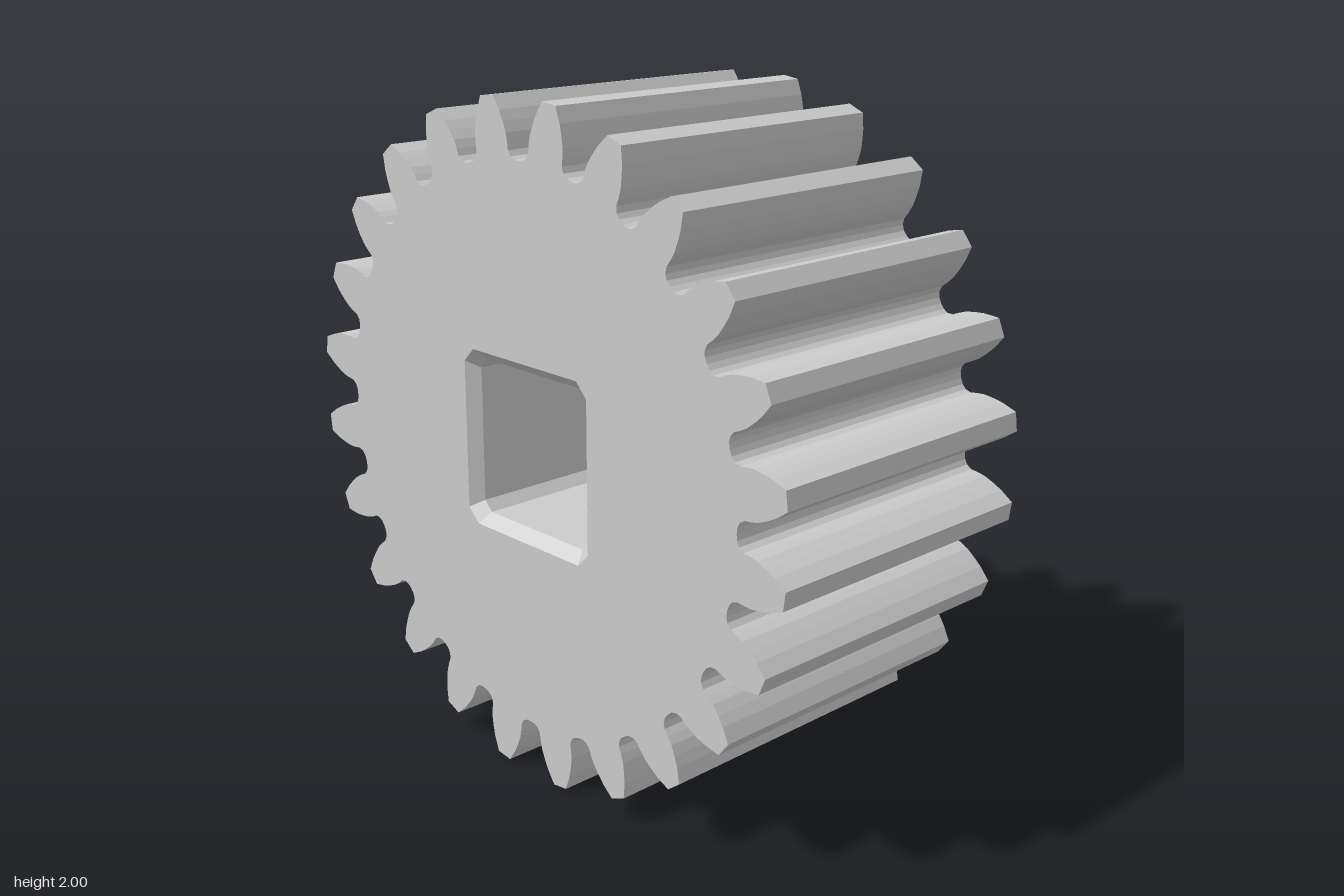
import * as THREE from 'three';

const TEETH = 24, HALF_DEPTH = 0.465, CENTRE_Y = 1;
const material = new THREE.MeshStandardMaterial({ color: 0xcccccc, flatShading: true });

// Half of a tooth gap: [radius, degrees away from the gap's middle]
const GAP = [[0.832, 0], [0.834, 1.2], [0.842, 2.2], [0.858, 2.85], [0.88, 2.95],
  [0.905, 3.2], [0.935, 3.85], [0.965, 4.6], [1.0055, 5.95]];

// Counter-clockwise outline of the whole gear
function gearOutline() {
  const points = [];
  const add = (r, deg) => {
    const a = THREE.MathUtils.degToRad(deg);
    points.push(new THREE.Vector2(r * Math.cos(a), r * Math.sin(a)));
  };
  for (let i = 0; i < TEETH; i++) {
    const middle = i * 360 / TEETH;
    for (let k = GAP.length - 1; k > 0; k--) add(GAP[k][0], middle - GAP[k][1]);
    for (const [r, deg] of GAP) add(r, middle + deg);
  }
  return points;
}

// Clockwise square with cut corners, so that its walls face inward
function squareOutline(h, cut) {
  const c = h - cut;
  return [[h, c], [h, -c], [c, -h], [-c, -h], [-h, -c], [-h, c], [-c, h], [c, h]]
    .map(([x, y]) => new THREE.Vector2(x, y));
}

// Walls through a series of [outline, z] sections, from back to front
function loft(sections) {
  const positions = [];
  for (let s = 0; s + 1 < sections.length; s++) {
    const [a, za] = sections[s], [b, zb] = sections[s + 1];
    for (let i = 0; i < a.length; i++) {
      const j = (i + 1) % a.length;
      const p = [a[i].x, a[i].y, za], q = [a[j].x, a[j].y, za];
      const r = [b[j].x, b[j].y, zb], t = [b[i].x, b[i].y, zb];
      positions.push(...p, ...q, ...r, ...p, ...r, ...t);
    }
  }
  const geometry = new THREE.BufferGeometry();
  geometry.setAttribute('position', new THREE.Float32BufferAttribute(positions, 3));
  geometry.computeVertexNormals();
  return geometry;
}

export function createModel() {
  const model = new THREE.Group();
  model.name = 'spurGear';
  const add = (name, geometry) => {
    const mesh = new THREE.Mesh(geometry, material);
    mesh.name = name;
    mesh.position.y = CENTRE_Y;
    model.add(mesh);
  };

  const outline = gearOutline();
  const bore = squareOutline(0.234, 0.03);
  const rim = squareOutline(0.267, 0.042);
  const bevel = HALF_DEPTH - 0.035;

  // Toothed outer wall
  add('teeth', loft([[outline, -HALF_DEPTH], [outline, HALF_DEPTH]]));

  // Square shaft hole, bevelled at both ends
  add('shaftHole', loft([[rim, -HALF_DEPTH], [bore, -bevel], [bore, bevel], [rim, HALF_DEPTH]]));

  // Flat end faces
  const shape = new THREE.Shape(outline);
  shape.holes.push(new THREE.Path(rim));
  add('frontFace', new THREE.ShapeGeometry(shape).translate(0, 0, HALF_DEPTH));
  add('backFace', new THREE.ShapeGeometry(shape).translate(0, 0, HALF_DEPTH).rotateY(Math.PI));

  return model;
}
